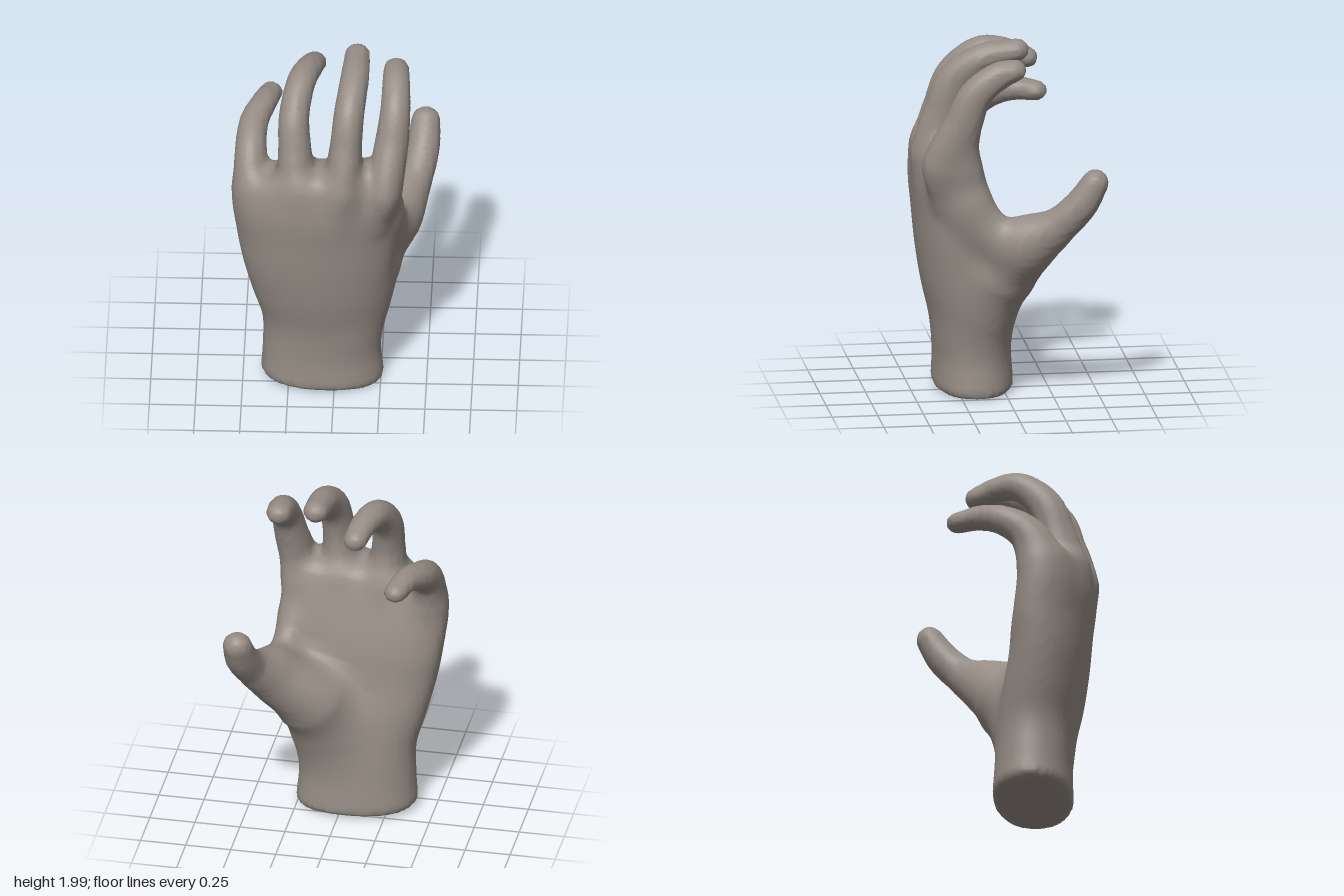
import * as THREE from 'three';

const lerp = THREE.MathUtils.lerp;

// Palm sections every 0.2 up from the wrist: [xMin, xMax, zMin, zMax, arch, squareness]
const PALM = [
  [-0.405, 0.268, -0.065, 0.38, 0, 2.2],
  [-0.393, 0.25, -0.052, 0.372, 0, 2.2],
  [-0.395, 0.265, -0.04, 0.39, 0.01, 2.2],
  [-0.45, 0.30, -0.015, 0.433, 0.02, 2.2],
  [-0.50, 0.32, 0.03, 0.463, 0.04, 2.3],
  [-0.535, 0.34, 0.06, 0.482, 0.065, 2.4],
  [-0.55, 0.36, 0.11, 0.497, 0.08, 2.4],
  [-0.50, 0.34, 0.17, 0.47, 0.08, 2.3],
  [-0.40, 0.25, 0.25, 0.38, 0.06, 2.2],
];

// Digits from base to tip: [x, y, z, half width, half depth]
const DIGITS = {
  indexFinger: [
    [0.24, 1.15, 0.29, 0.08, 0.12], [0.272, 1.33, 0.325, 0.102, 0.152], [0.312, 1.58, 0.255, 0.092, 0.105],
    [0.33, 1.75, 0.185, 0.082, 0.09], [0.33, 1.85, 0.06, 0.075, 0.078], [0.328, 1.875, -0.025, 0.07, 0.06]],
  middleFinger: [
    [0.03, 1.15, 0.31, 0.09, 0.13], [0.045, 1.36, 0.345, 0.105, 0.163], [0.065, 1.60, 0.325, 0.087, 0.11],
    [0.08, 1.77, 0.27, 0.083, 0.1], [0.105, 1.895, 0.12, 0.079, 0.08], [0.115, 1.935, -0.065, 0.07, 0.062]],
  ringFinger: [
    [-0.19, 1.15, 0.30, 0.09, 0.13], [-0.205, 1.35, 0.315, 0.105, 0.15], [-0.215, 1.56, 0.295, 0.09, 0.105],
    [-0.22, 1.73, 0.235, 0.083, 0.095], [-0.185, 1.86, 0.09, 0.079, 0.08], [-0.145, 1.865, -0.04, 0.073, 0.068],
    [-0.12, 1.83, -0.15, 0.066, 0.058]],
  littleFinger: [
    [-0.41, 1.08, 0.24, 0.08, 0.12], [-0.45, 1.28, 0.23, 0.097, 0.135], [-0.458, 1.45, 0.155, 0.087, 0.1],
    [-0.445, 1.545, 0.02, 0.079, 0.08], [-0.395, 1.585, -0.11, 0.07, 0.068], [-0.36, 1.575, -0.235, 0.064, 0.055]],
  thumb: [
    [0.03, 0.36, 0.15, 0.16, 0.14], [0.08, 0.52, 0.10, 0.2, 0.175], [0.155, 0.70, 0.02, 0.21, 0.19],
    [0.325, 0.89, -0.11, 0.135, 0.15], [0.43, 1.03, -0.265, 0.092, 0.1], [0.465, 1.15, -0.375, 0.09, 0.09],
    [0.475, 1.265, -0.445, 0.08, 0.075]],
  thumbWeb: [
    [0.35, 0.91, -0.07, 0.08, 0.11], [0.325, 0.95, 0.06, 0.06, 0.09], [0.29, 1.08, 0.19, 0.06, 0.09]],
};

// Blended union; a wider k gives a softer fillet
function smoothMin(a, b, k) {
  const h = Math.max(k - Math.abs(a - b), 0) / k;
  return Math.min(a, b) - h * h * k / 4;
}
const smoothMax = (a, b, k) => -smoothMin(-a, -b, k);

// Signed distance to the palm: arched sections, cut at the wrist and the knuckles
function palmDistance(x, y, z) {
  const last = PALM.length - 1;
  const h = THREE.MathUtils.clamp(y / 0.2, 0, last);
  const i = Math.min(Math.floor(h), last - 1), f = h - i;
  const [a, b, c, d] = [i - 1, i, i + 1, i + 2].map(n => PALM[THREE.MathUtils.clamp(n, 0, last)]);
  const [x0, x1, z0, z1, arch, p] = b.map((v, n) => v + 0.5 * f * (c[n] - a[n]
    + f * (2 * a[n] - 5 * v + 4 * c[n] - d[n] + f * (3 * (v - c[n]) + d[n] - a[n]))));
  const dx = x - (x0 + x1) / 2, u = dx / ((x1 - x0) / 2);
  const dz = z - (z0 + z1) / 2 + arch * Math.min(u * u, 1.5), v = dz / ((z1 - z0) / 2);
  const q = (Math.abs(u) ** p + Math.abs(v) ** p) ** (1 / p) + 1e-6;
  const wall = (q - 1) / q * Math.hypot(dx, dz);
  const wristCut = 0.016 - 0.045 * x - y;
  const knuckleCut = y + 0.35 * Math.max(0, -x - 0.2) - 1.45;
  return smoothMax(smoothMax(wall, wristCut, 0.04), knuckleCut, 0.08);
}

// Signed distance to a digit: a dense chain of ellipsoids along a curve
function digitDistance(keys) {
  const curve = new THREE.CatmullRomCurve3(keys.map(k => new THREE.Vector3(k[0], k[1], k[2])));
  const steps = (keys.length - 1) * 10;
  const beads = Array.from({ length: steps + 1 }, (_, i) => {
    const f = i / 10, n = Math.min(Math.floor(f), keys.length - 2);
    const [rw, rd] = [3, 4].map(q => lerp(keys[n][q], keys[n + 1][q], f - n));
    const t = curve.getTangent(i / steps);
    const s = new THREE.Vector3(1, 0, 0).addScaledVector(t, -t.x).normalize();
    return { c: curve.getPoint(i / steps), t, s, d: new THREE.Vector3().crossVectors(t, s), rw, rd, rt: (rw + rd) / 2 };
  });
  return (x, y, z) => {
    let best = Infinity;
    for (const { c, t, s, d, rw, rd, rt } of beads) {
      const px = x - c.x, py = y - c.y, pz = z - c.z;
      const a = (px * s.x + py * s.y + pz * s.z) / rw;
      const b = (px * d.x + py * d.y + pz * d.z) / rd;
      const e = (px * t.x + py * t.y + pz * t.z) / rt;
      const q = Math.sqrt(a * a + b * b + e * e) + 1e-6;
      best = Math.min(best, (q - 1) / q * Math.sqrt(px * px + py * py + pz * pz));
    }
    return best;
  };
}

// Skin a distance field with quads: one vertex per boundary cell of a grid
function skinField(field, min, size, step) {
  const n = size.map(s => Math.ceil(s / step) + 1);
  const stride = [1, n[0], n[0] * n[1]];
  const values = new Float32Array(n[0] * n[1] * n[2]);
  const eachPoint = visit => {
    for (let k = 0, id = 0; k < n[2]; k++)
      for (let j = 0; j < n[1]; j++)
        for (let i = 0; i < n[0]; i++, id++) visit([i, j, k], id);
  };
  eachPoint((g, id) => { values[id] = field(...g.map((v, a) => min[a] + v * step)); });

  const positions = [], quads = [], cellVertex = new Map();
  eachPoint((g, id) => {
    if (g.some((v, a) => v === n[a] - 1)) return;
    const sum = [0, 0, 0];
    let hits = 0;
    for (let corner = 0; corner < 8; corner++) {
      const o = [corner & 1, corner >> 1 & 1, corner >> 2];
      const from = id + o[0] + o[1] * stride[1] + o[2] * stride[2];
      for (let a = 0; a < 3; a++) {
        if (o[a]) continue;
        const v0 = values[from], v1 = values[from + stride[a]];
        if (v0 < 0 === v1 < 0) continue;
        for (let b = 0; b < 3; b++) sum[b] += o[b] + (a === b ? v0 / (v0 - v1) : 0);
        hits++;
      }
    }
    if (!hits) return;
    cellVertex.set(id, positions.length / 3);
    positions.push(...sum.map((s, a) => min[a] + (g[a] + s / hits) * step));
  });
  eachPoint((g, id) => {
    for (let a = 0; a < 3; a++) {
      const inside = values[id] < 0;
      if (g[a] === n[a] - 1 || inside === values[id + stride[a]] < 0) continue;
      const b = stride[(a + 1) % 3], c = stride[(a + 2) % 3];
      const quad = [id, id - b, id - b - c, id - c].map(cell => cellVertex.get(cell));
      quads.push(inside ? quad : quad.reverse());
    }
  });
  return { positions, quads };
}

export function createModel() {
  const model = new THREE.Group();
  model.name = 'hand';
  const skin = new THREE.MeshStandardMaterial({ color: 0x958c84 });
  skin.name = 'stone grey skin';

  const names = ['palm', ...Object.keys(DIGITS)];
  const parts = [palmDistance, ...Object.values(DIGITS).map(digitDistance)];
  const fillets = names.map(name => name.startsWith('thumb') ? 0.12 : 0.07);
  const field = (x, y, z) => parts.map(part => part(x, y, z)).reduce((a, b, i) => smoothMin(a, b, fillets[i]));
  const { positions, quads } = skinField(field, [-0.66, -0.06, -0.6], [1.32, 2.14, 1.2], 0.024);

  // Sort the faces by their nearest part
  const faces = parts.map(() => []);
  for (const [a, b, c, d] of quads) {
    const distances = parts.map(part => part(...positions.slice(a * 3, a * 3 + 3)));
    faces[distances.indexOf(Math.min(...distances))].push(a, b, c, a, c, d);
  }

  // Smooth normals over the whole skin, shared by all parts
  const whole = new THREE.BufferGeometry();
  whole.setAttribute('position', new THREE.Float32BufferAttribute(positions, 3));
  whole.setIndex(faces.flat());
  whole.computeVertexNormals();
  names.forEach((name, i) => {
    const geometry = new THREE.BufferGeometry();
    geometry.setAttribute('position', whole.attributes.position);
    geometry.setAttribute('normal', whole.attributes.normal);
    geometry.setIndex(faces[i]);
    const mesh = new THREE.Mesh(geometry, skin);
    mesh.name = name;
    model.add(mesh);
  });
  return model;
}
